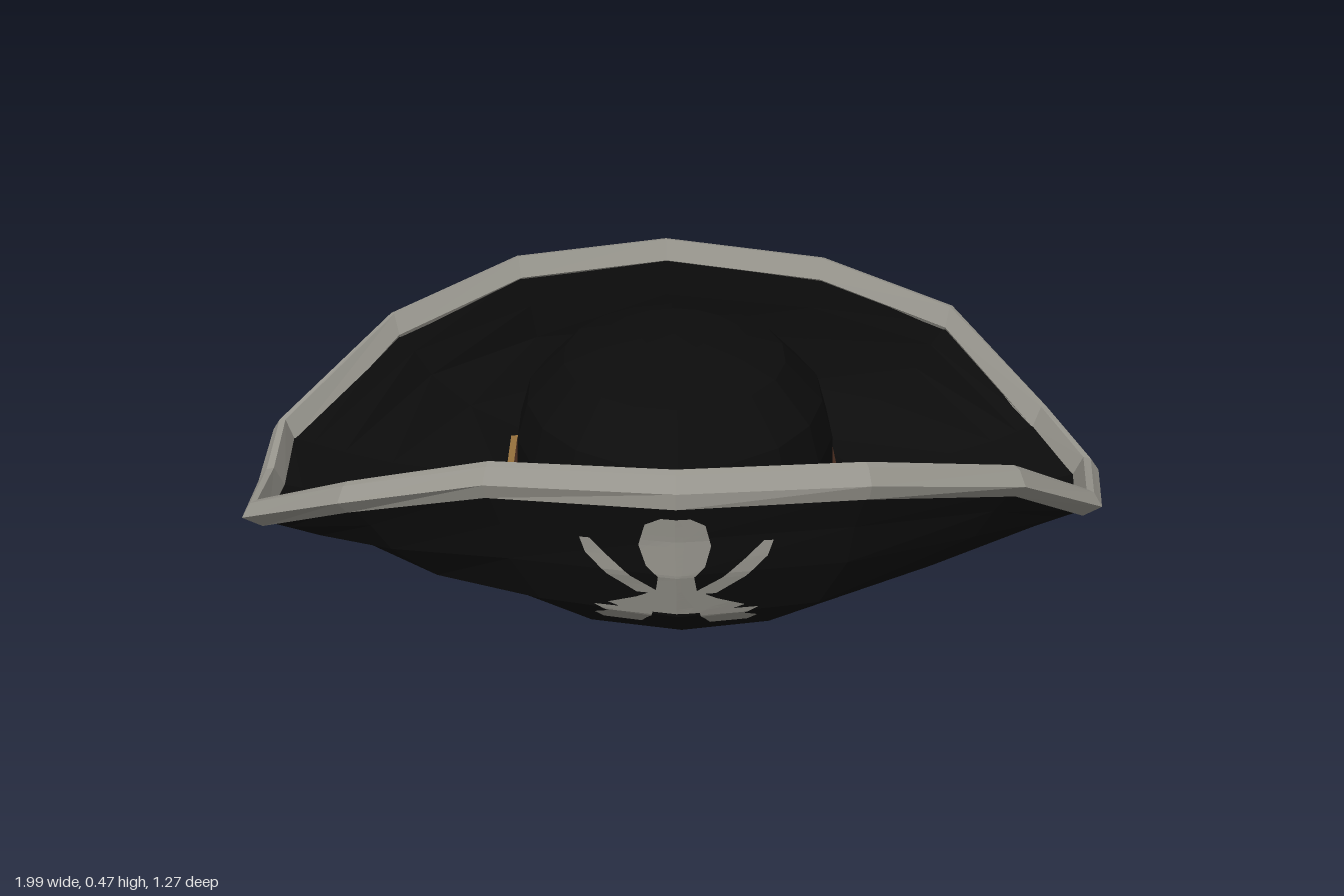
import * as THREE from 'three';

const mat = (name, color) => new THREE.MeshStandardMaterial({ name, color, side: THREE.DoubleSide });

// Rim outline: x, z, top height
const RIM = [
  [0.99, 0, 0.15], [0.92, -0.21, 0.19], [0.71, -0.48, 0.35], [0.38, -0.57, 0.45],
  [-0.03, -0.64, 0.48], [-0.42, -0.6, 0.45], [-0.74, -0.465, 0.35], [-1, -0.2, 0.18],
  [-1, 0.01, 0.15], [-0.99, 0.235, 0.18], [-0.73, 0.46, 0.34], [-0.415, 0.57, 0.44],
  [-0.03, 0.635, 0.45], [0.36, 0.61, 0.45], [0.71, 0.44, 0.35], [0.94, 0.23, 0.18],
];
const CROWN = { x: -0.02, rx: 0.375, rz: 0.43 };
const lerp = THREE.MathUtils.lerp;

// Faceted surface through rows of points
function loft(rows, closed = true) {
  const pos = [];
  const n = rows[0].length;
  for (let r = 0; r < rows.length - 1; r++) {
    for (let i = 0; i < (closed ? n : n - 1); i++) {
      const j = (i + 1) % n;
      const a = rows[r][i], b = rows[r][j], c = rows[r + 1][j], d = rows[r + 1][i];
      pos.push(...a, ...b, ...c, ...a, ...c, ...d);
    }
  }
  const g = new THREE.BufferGeometry();
  g.setAttribute('position', new THREE.Float32BufferAttribute(pos, 3));
  g.computeVertexNormals();
  return g;
}

// Point relative to the rim: n outward, dy from the top edge
function rimPoint([x, z, y], n, dy) {
  const d = new THREE.Vector2(x, z / 0.4).normalize();
  return [x + d.x * n, y + dy, z + d.y * n];
}
const endness = (p) => Math.min(1, Math.abs(p[0])) ** 1.5;

// Brim wall rows: base ring curving up to the rim
function wallRows(radius, baseY, target) {
  const front = [[0, 0], [0.55, 0.2], [0.85, 0.52], [0.88, 0.75], [1, 1]];
  const side = [[0, 0], [0.52, 0.35], [0.75, 0.62], [0.9, 0.85], [1, 1]];
  return front.map(([fu, fh], r) => RIM.map((p) => {
    const k = endness(p);
    const u = lerp(fu, side[r][0], k), h = lerp(fh, side[r][1], k);
    const a = Math.atan2(p[1] / 0.63, p[0]);
    const t = target(p, k);
    return [lerp(radius * Math.cos(a), t[0], u), lerp(baseY, t[1], h), lerp(radius * Math.sin(a), t[2], u)];
  }));
}
const innerRing = (y) => RIM.map((p) => {
  const a = Math.atan2(p[1] / 0.63, p[0]);
  return [CROWN.x + CROWN.rx * 0.97 * Math.cos(a), y, CROWN.rz * 0.97 * Math.sin(a)];
});

// Elliptical lathe used for the crown and its band
function crownLathe(profile) {
  let g = new THREE.LatheGeometry(profile.map(([r, y]) => new THREE.Vector2(r, y)), 18);
  g.scale(CROWN.rx, 1, CROWN.rz);
  g.translate(CROWN.x, 0, 0);
  g = g.toNonIndexed();
  g.computeVertexNormals();
  return g;
}

export function createModel() {
  const felt = mat('black felt', 0x0c0c0c);
  const grey = mat('grey trim', 0x98968e);
  const brown = mat('brown leather', 0x44291c);
  const gold = mat('dull gold', 0x96713c);
  const hat = new THREE.Group();
  hat.name = 'hat';
  const add = (name, geometry, material) => {
    const m = new THREE.Mesh(geometry, material);
    m.name = name;
    hat.add(m);
    return m;
  };

  // Upturned brim, outside and inside
  const outer = wallRows(0.5, 0.008, (p, k) => rimPoint(p, -0.012 - 0.04 * k, -0.06));
  const inner = wallRows(0.47, 0.035, (p, k) => rimPoint(p, -0.045 - 0.01 * k, -0.045));
  const brim = add('brimOutside', loft([innerRing(0.005), ...outer]), felt);
  add('brimInside', loft([...inner.reverse(), innerRing(0.04)]), felt);

  // Trim wrapped over the rim
  const section = (k) => [
    [-0.03 - 0.04 * k, -0.065], [-0.045 * k, -0.07], [0, -0.035], [-0.022, -0.004],
    [-0.04, 0], [-0.062, -0.05], [-0.03 - 0.04 * k, -0.065],
  ];
  add('rimTrim', loft(section(0).map((_, r) => RIM.map((p) => {
    const [n, dy] = section(endness(p))[r];
    return rimPoint(p, n, dy);
  }))), grey);

  // Domed crown and leather band
  add('crown', crownLathe([[0.97, 0.005], [0.99, 0.16], [0.98, 0.25], [0.91, 0.34],
    [0.68, 0.43], [0.45, 0.46], [0.2, 0.475], [0, 0.48]]), felt);
  add('crownBand', crownLathe([[0.98, 0.04], [1.015, 0.045], [1.015, 0.175], [0.98, 0.18]]), brown);

  // Buckle on the right side of the band
  const box = (path, w, h) => {
    path.moveTo(-w, -h); path.lineTo(w, -h); path.lineTo(w, h); path.lineTo(-w, h); path.closePath();
    return path;
  };
  const frame = box(new THREE.Shape(), 0.105, 0.065);
  frame.holes.push(box(new THREE.Path(), 0.078, 0.04));
  const buckle = add('buckle', new THREE.ExtrudeGeometry(frame, { depth: 0.016, bevelEnabled: false }), gold);
  buckle.rotation.y = -Math.PI / 2;
  buckle.position.set(-0.394, 0.11, 0.01);
  const prong = add('bucklePin', new THREE.BoxGeometry(0.012, 0.014, 0.11), gold);
  prong.position.set(-0.405, 0.11, -0.035);

  // Skull and curved bones laid on the front wall; rows are left x, right x, y
  const ray = new THREE.Raycaster();
  const onWall = (x, y) => {
    ray.set(new THREE.Vector3(x, y, 2), new THREE.Vector3(0, 0, -1));
    const hit = ray.intersectObject(brim)[0];
    return [x, y, (hit ? hit.point.z : 0.6) + 0.006];
  };
  const strip = (name, spans) => {
    const rows = [];
    for (let i = 0; i < spans.length - 1; i++) {
      for (let s = i ? 1 : 0; s <= 4; s++) {
        const [l, r, y] = spans[i].map((v, c) => lerp(v, spans[i + 1][c], s / 4));
        rows.push(Array.from({ length: 9 }, (_, j) => onWall(lerp(l, r, j / 8), y)));
      }
    }
    add(name, loft(rows.reverse(), false), grey);
  };
  const mirrored = (spans) => spans.map(([l, r, y]) => [-0.056 - r, -0.056 - l, y]);
  strip('emblemSkull', [[-0.06, 0, 0.35], [-0.092, 0.03, 0.332], [-0.105, 0.042, 0.28],
    [-0.09, 0.03, 0.23], [-0.066, 0.008, 0.205], [-0.07, 0.014, 0.165], [-0.11, 0.055, 0.14],
    [-0.17, 0.115, 0.115], [-0.13, 0.075, 0.098]]);
  const bone = [[-0.225, -0.205, 0.287], [-0.214, -0.172, 0.25], [-0.17, -0.122, 0.2], [-0.11, -0.055, 0.155]];
  const foot = [[-0.2, -0.075, 0.105], [-0.17, -0.08, 0.085], [-0.2, -0.09, 0.07], [-0.18, -0.1, 0.05]];
  strip('emblemBoneRight', bone);
  strip('emblemBoneLeft', mirrored(bone));
  strip('emblemBaseRight', foot);
  strip('emblemBaseLeft', mirrored(foot));
  return hat;
}
